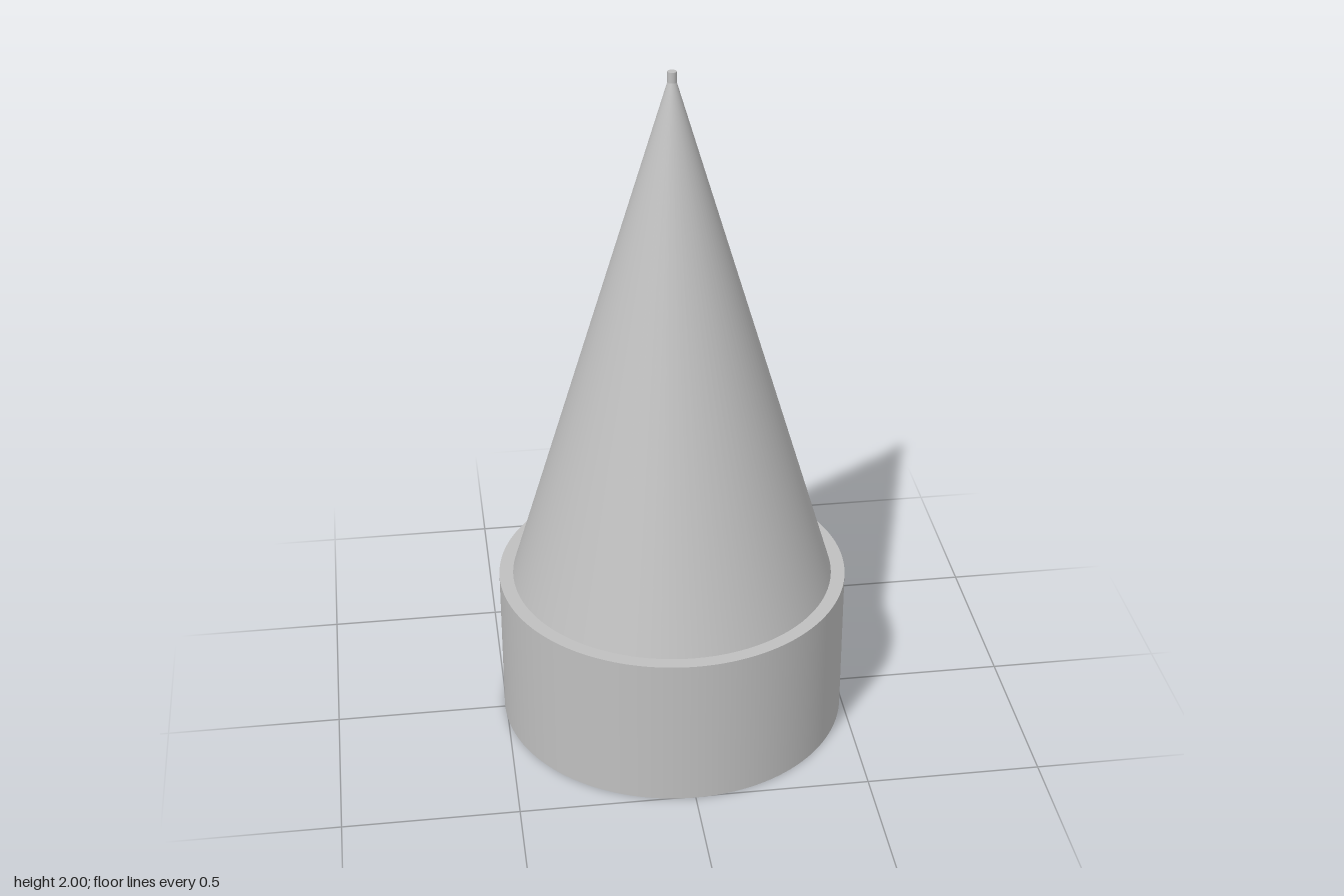
import * as THREE from 'three';

const SEGMENTS = 96;

export function createModel() {
  const model = new THREE.Group();
  model.name = 'conicalNozzle';
  const grey = new THREE.MeshStandardMaterial({ color: 0xbfbfbf });
  grey.name = 'light grey';

  const add = (name, geometry, y) => {
    const mesh = new THREE.Mesh(geometry, grey);
    mesh.name = name;
    mesh.position.y = y;
    model.add(mesh);
  };

  // Hollow collar: an extruded ring, open at the bottom
  const collarHeight = 0.455, outer = 0.505, inner = 0.435;
  const ring = new THREE.Shape().absarc(0, 0, outer, 0, Math.PI * 2);
  ring.holes.push(new THREE.Path().absarc(0, 0, inner, 0, Math.PI * 2, true));
  const wallTop = new THREE.ExtrudeGeometry(ring, {
    depth: collarHeight, bevelEnabled: false, curveSegments: SEGMENTS,
  });
  wallTop.rotateX(-Math.PI / 2);
  // Smooth the round walls: radial normals on every side face
  const p = wallTop.attributes.position, n = wallTop.attributes.normal;
  for (let i = 0; i < p.count; i++) {
    if (Math.abs(n.getY(i)) > 0.5) continue;
    const r = Math.hypot(p.getX(i), p.getZ(i));
    const s = r > (outer + inner) / 2 ? 1 : -1;
    n.setXYZ(i, s * p.getX(i) / r, 0, s * p.getZ(i) / r);
  }
  add('collar', wallTop, 0);

  // Ceiling that closes the socket inside the collar
  add('socketCeiling', new THREE.CylinderGeometry(0.437, 0.437, 0.05, SEGMENTS), 0.425);

  // Tall cone rising from the collar
  const coneHeight = 1.515;
  add('cone', new THREE.CylinderGeometry(0.0125, 0.465, coneHeight, SEGMENTS, 1, true),
    collarHeight + coneHeight / 2);

  // Small straight nib at the point
  add('nib', new THREE.CylinderGeometry(0.0125, 0.0125, 0.04, 32), 1.98);

  return model;
}
